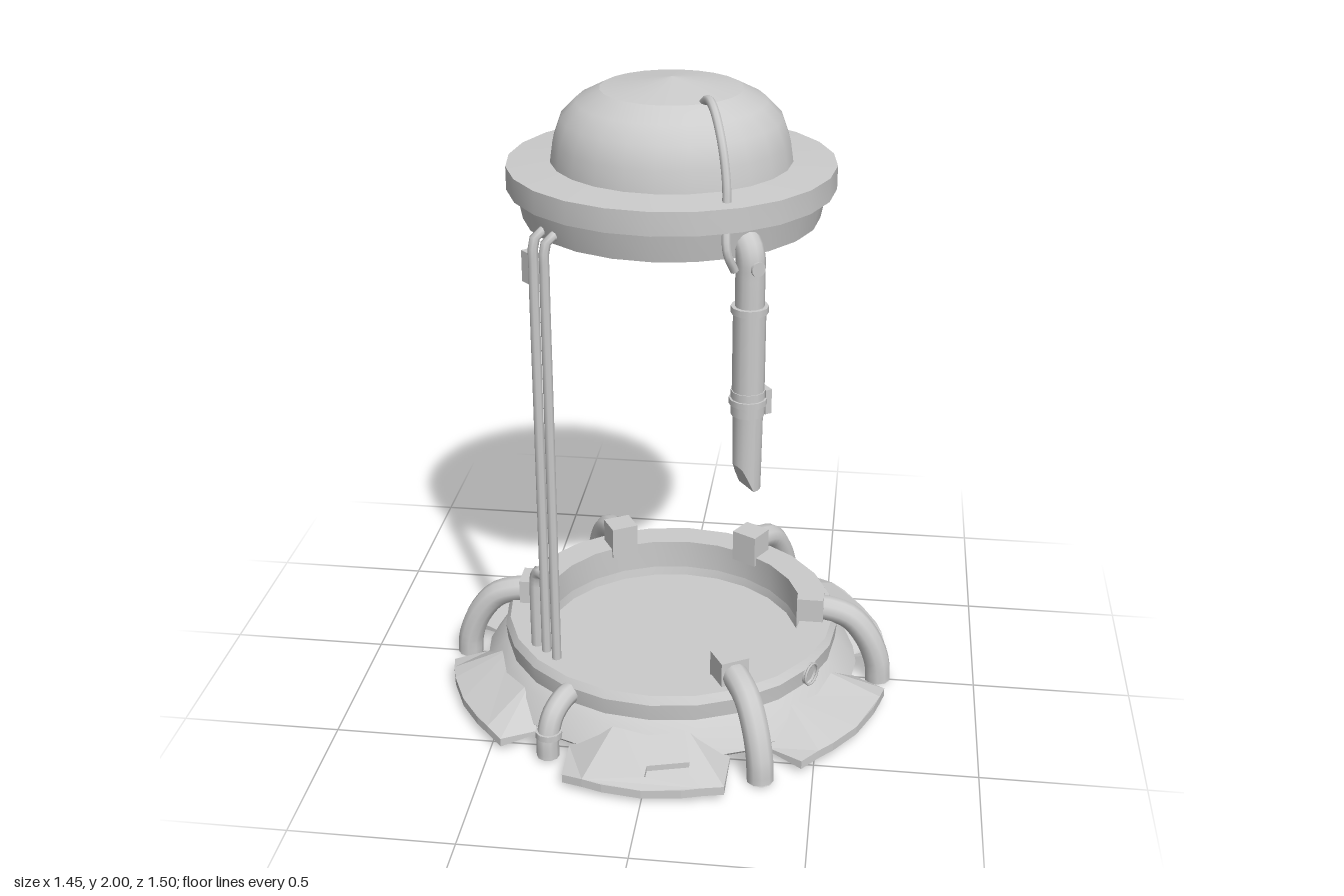
import * as THREE from 'three';
import { toCreasedNormals } from 'three/addons/utils/BufferGeometryUtils.js';

const grey = new THREE.MeshStandardMaterial({ color: 0xcccccc, side: THREE.DoubleSide });
const V = (x, y, z) => new THREE.Vector3(x, y, z);
const rad = THREE.MathUtils.degToRad;

function add(parent, name, geometry, x = 0, y = 0, z = 0) {
  const mesh = new THREE.Mesh(geometry, grey);
  mesh.name = name;
  mesh.position.set(x, y, z);
  parent.add(mesh);
  return mesh;
}

// Group whose local +z points outward at the given angle from the front
function spoke(parent, name, degrees) {
  const g = new THREE.Group();
  g.name = name;
  g.rotation.y = rad(degrees);
  parent.add(g);
  return g;
}

const points2 = pts => pts.map(p => new THREE.Vector2(...p));
const lathe = (pts, sides) => toCreasedNormals(new THREE.LatheGeometry(points2(pts), sides), 0.5);
const tube = (points, r, steps = 16, sides = 10) =>
  new THREE.TubeGeometry(new THREE.CatmullRomCurve3(points), steps, r, sides);

// Sloping petal facet, drawn flat as (x, radius) and then dropped towards the sides
function petalPanel(outline, slotted) {
  const shape = new THREE.Shape(points2(outline));
  if (slotted) {
    shape.holes.push(new THREE.Path(points2([[0.005, 0.705], [0.008, 0.67], [0.135, 0.648], [0.135, 0.687]])));
  }
  const geo = new THREE.ExtrudeGeometry(shape, { depth: 1, bevelEnabled: false });
  const p = geo.attributes.position;
  for (let i = 0; i < p.count; i++) {
    const x = p.getX(i), r = p.getY(i), isTop = p.getZ(i);
    const t = THREE.MathUtils.clamp((Math.abs(x) - 0.15) / 0.1, 0, 1);
    const top = THREE.MathUtils.lerp(0.135 - (r - 0.53) * 0.42, 0.045, t);
    const thickness = r > 0.6 ? 0.028 : 0.01;
    p.setXYZ(i, x, top - thickness * (1 - isTop), r);
  }
  // Swapping the two axes mirrors the panel, so turn the faces back
  for (let i = 0; i < p.count; i += 3) {
    const a = V().fromBufferAttribute(p, i), c = V().fromBufferAttribute(p, i + 2);
    p.setXYZ(i, c.x, c.y, c.z);
    p.setXYZ(i + 2, a.x, a.y, a.z);
  }
  geo.computeVertexNormals();
  return geo;
}

function addPetal(parent, degrees) {
  const slotted = degrees % 180 === 0;
  const reach = slotted ? 0.748 : 0.722;
  const g = spoke(parent, 'petal', degrees);
  add(g, 'petalMiddle', petalPanel([[-0.1, 0.52], [0.1, 0.52], [0.18, reach - 0.024],
    [0.12, reach - 0.01], [0, reach], [-0.12, reach - 0.01], [-0.18, reach - 0.024]], slotted));
  for (const s of [-1, 1]) {
    const pts = [[0.1, 0.52], [0.248, 0.555], [0.244, reach - 0.045], [0.18, reach - 0.024]];
    add(g, 'petalSide', petalPanel(pts.map(([x, r]) => [s * x, r]), false));
  }
  if (slotted) {
    const floor = add(g, 'slotFloor', new THREE.BoxGeometry(0.15, 0.006, 0.075), 0.07, 0.051, 0.677);
    floor.rotation.x = Math.atan(0.42);
  }
}

function addLeg(parent, degrees) {
  const g = spoke(parent, 'leg', degrees);
  add(g, 'legPipe', tube([V(0, 0.26, 0.46), V(0, 0.258, 0.51), V(0, 0.232, 0.585),
    V(0, 0.16, 0.645), V(0, 0.07, 0.68), V(0, 0.003, 0.686)], 0.042));
  const foot = add(g, 'footCap', new THREE.CircleGeometry(0.042, 10), 0, 0.003, 0.686);
  foot.rotation.x = Math.PI / 2;
  add(g, 'legClamp', new THREE.BoxGeometry(0.092, 0.11, 0.085), 0, 0.255, 0.457);
}

function addBrokenPipe(parent) {
  const g = spoke(parent, 'brokenPipe', -29);
  add(g, 'bentPipe', tube(
    [V(0, 0.18, 0.51), V(0, 0.178, 0.56), V(0, 0.145, 0.615), V(0, 0.08, 0.642), V(0, 0.012, 0.645)], 0.035));
  add(g, 'pipeCollar', new THREE.CylinderGeometry(0.042, 0.042, 0.02, 10), 0, 0.09, 0.638);
}

// Open pipe socket in the side of the base ring
function addSocket(parent, degrees) {
  const g = spoke(parent, 'socket', degrees);
  const sleeve = add(g, 'socketSleeve', new THREE.CylinderGeometry(0.036, 0.036, 0.05, 12, 1, true), 0, 0.18, 0.525);
  sleeve.rotation.x = Math.PI / 2;
  add(g, 'socketLip', new THREE.TorusGeometry(0.035, 0.004, 6, 12), 0, 0.18, 0.55);
}

// Pair of thin rods carrying the cap, with a short side conduit
function addMast(parent) {
  const g = spoke(parent, 'mast', -45);
  for (const x of [-0.028, 0.028]) {
    add(g, 'mastRod', tube([V(x, 0.18, 0.478), V(x, 0.6, 0.478), V(x, 1.1, 0.478), V(x, 1.5, 0.478),
      V(x, 1.58, 0.476), V(x, 1.612, 0.462), V(x, 1.615, 0.415)], 0.015, 48, 8));
  }
  add(g, 'sideConduit', tube([V(-0.078, 0.18, 0.478), V(-0.078, 0.42, 0.478), V(-0.075, 0.47, 0.478),
    V(-0.06, 0.5, 0.478), V(-0.028, 0.505, 0.478)], 0.02, 20, 8));
  add(g, 'switchBox', new THREE.BoxGeometry(0.05, 0.095, 0.028), -0.068, 1.5, 0.462);
}

// Pipe hanging from the cap, with collars and a cut lower end
function addHangingPipe(parent) {
  const g = spoke(parent, 'hangingPipe', 35.5);
  const r = 0.46;
  add(g, 'upperElbow', tube([V(0, 1.43, r), V(0, 1.54, r), V(0, 1.595, r - 0.002),
    V(0, 1.625, r - 0.02), V(0, 1.632, r - 0.05)], 0.042, 16, 12));
  add(g, 'middlePipe', new THREE.CylinderGeometry(0.047, 0.047, 0.3, 12), 0, 1.29, r);
  add(g, 'upperCollar', new THREE.CylinderGeometry(0.054, 0.054, 0.02, 12), 0, 1.44, r);
  add(g, 'lowerCollar', new THREE.CylinderGeometry(0.05, 0.05, 0.075, 12), 0, 1.155, r);
  add(g, 'collarBand', new THREE.CylinderGeometry(0.056, 0.056, 0.018, 12), 0, 1.16, r);
  add(g, 'collarLatch', new THREE.BoxGeometry(0.02, 0.075, 0.045), 0.05, 1.155, r + 0.01);
  const end = new THREE.CylinderGeometry(0.045, 0.042, 0.26, 16);
  const p = end.attributes.position;
  for (let i = 0; i < p.count; i++) {
    if (p.getY(i) < 0) {
      p.setY(i, -0.13 + 0.08 * THREE.MathUtils.clamp(-p.getX(i) / 0.035, 0, 1));
    }
  }
  end.computeVertexNormals();
  add(g, 'cutEnd', end, 0, 1.01, r);
  const screw = add(g, 'screw', new THREE.CylinderGeometry(0.022, 0.022, 0.02, 10), 0, 1.57, r + 0.036);
  screw.rotation.x = Math.PI / 2;
}

export function createModel() {
  const model = new THREE.Group();
  model.name = 'domedStation';

  // Base: basin ring and floor, with a flared skirt under the petals
  const base = new THREE.Group();
  base.name = 'base';
  model.add(base);
  add(base, 'basin', lathe([[0, 0.07], [0.42, 0.07], [0.43, 0.13], [0.5, 0.13], [0.54, 0.15], [0.545, 0.205],
    [0.53, 0.23], [0.43, 0.23], [0.43, 0.1], [0, 0.1]], 24));
  add(base, 'skirt', lathe([[0.605, 0.05], [0.612, 0.06], [0.565, 0.128], [0.54, 0.15], [0.5, 0.14],
    [0.555, 0.115], [0.605, 0.05]], 24));
  for (let a = 0; a < 360; a += 60) addPetal(base, a);
  for (const a of [30, 90, 150, 210, 270]) addLeg(base, a);
  addBrokenPipe(base);
  for (const a of [60, 240]) addSocket(base, a);

  addMast(model);

  // Cap: wide rim, rounded shell with a shallow hollow below, and a low cone on top
  const cap = new THREE.Group();
  cap.name = 'cap';
  model.add(cap);
  add(cap, 'dome', lathe([[0.442, 1.59], [0.46, 1.68], [0.488, 1.68], [0.488, 1.75], [0.358, 1.758], [0.349, 1.82],
    [0.326, 1.885], [0.28, 1.932], [0.21, 1.968], [0, 1.78], [0.15, 1.77], [0.28, 1.735],
    [0.38, 1.67], [0.425, 1.6], [0.442, 1.59]], 24));
  add(cap, 'domeTop', new THREE.LatheGeometry(points2([[0.21, 1.968], [0, 2.0]]), 24));
  add(cap, 'cable', tube([V(0.105, 1.96, 0.15), V(0.125, 1.985, 0.19), V(0.15, 1.975, 0.26), V(0.18, 1.9, 0.335),
    V(0.197, 1.8, 0.373), V(0.2, 1.72, 0.39), V(0.205, 1.62, 0.42), V(0.225, 1.56, 0.4)], 0.013, 32, 8));

  addHangingPipe(model);
  return model;
}
